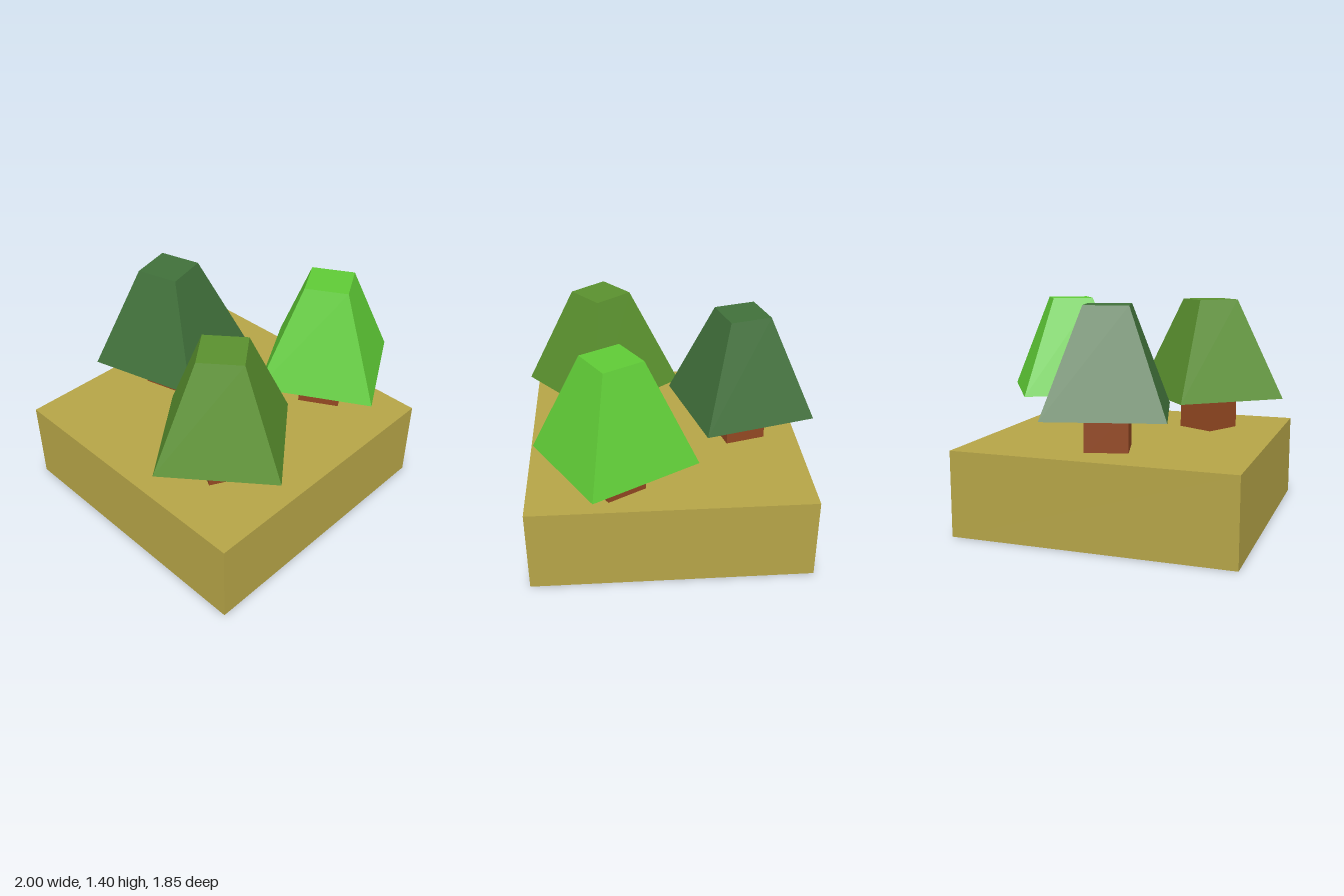
import * as THREE from 'three';

const BASE_TOP = 0.535, CROWN_BOTTOM = 0.76, CROWN_TOP = 1.402;

function material(color) {
  return new THREE.MeshStandardMaterial({ color, flatShading: true });
}

// Square frustum with its sides along x and z, standing on y = y0
function squareFrustum(bottomSide, topSide, y0, y1) {
  const geo = new THREE.CylinderGeometry(topSide / Math.SQRT2, bottomSide / Math.SQRT2, y1 - y0, 4);
  geo.rotateY(Math.PI / 4);
  geo.translate(0, (y0 + y1) / 2, 0);
  return geo;
}

export function createModel() {
  const model = new THREE.Group();
  model.name = 'treePlot';

  // Square block of ground
  const ground = new THREE.Mesh(new THREE.BoxGeometry(1.76, BASE_TOP, 1.76), material(0xb5a447));
  ground.name = 'groundBlock';
  ground.position.set(-0.1, BASE_TOP / 2, 0.02);
  model.add(ground);

  // Trees: position, crown and trunk turn in degrees, crown colour
  const trees = [
    { name: 'backTree', x: -0.09, z: -0.481, crownTurn: 15.2, trunkTurn: 15.2, color: 0x40703a },
    { name: 'rightTree', x: -0.491, z: 0.409, crownTurn: 38.9, trunkTurn: -27.6, color: 0x5a902e },
    { name: 'leftTree', x: 0.498, z: 0.353, crownTurn: 30.2, trunkTurn: 30.2, color: 0x5fcb36 },
  ];
  const trunkGeo = squareFrustum(0.266, 0.266, BASE_TOP - 0.02, CROWN_BOTTOM + 0.02);
  const crownGeo = squareFrustum(0.727, 0.27, CROWN_BOTTOM, CROWN_TOP);
  const bark = material(0x934822);

  for (const t of trees) {
    const tree = new THREE.Group();
    tree.name = t.name;
    tree.position.set(t.x, 0, t.z);

    const trunk = new THREE.Mesh(trunkGeo, bark);
    trunk.name = 'trunk';
    trunk.rotation.y = THREE.MathUtils.degToRad(t.trunkTurn);

    const crown = new THREE.Mesh(crownGeo, material(t.color));
    crown.name = 'crown';
    crown.rotation.y = THREE.MathUtils.degToRad(t.crownTurn);

    tree.add(trunk, crown);
    model.add(tree);
  }
  return model;
}
